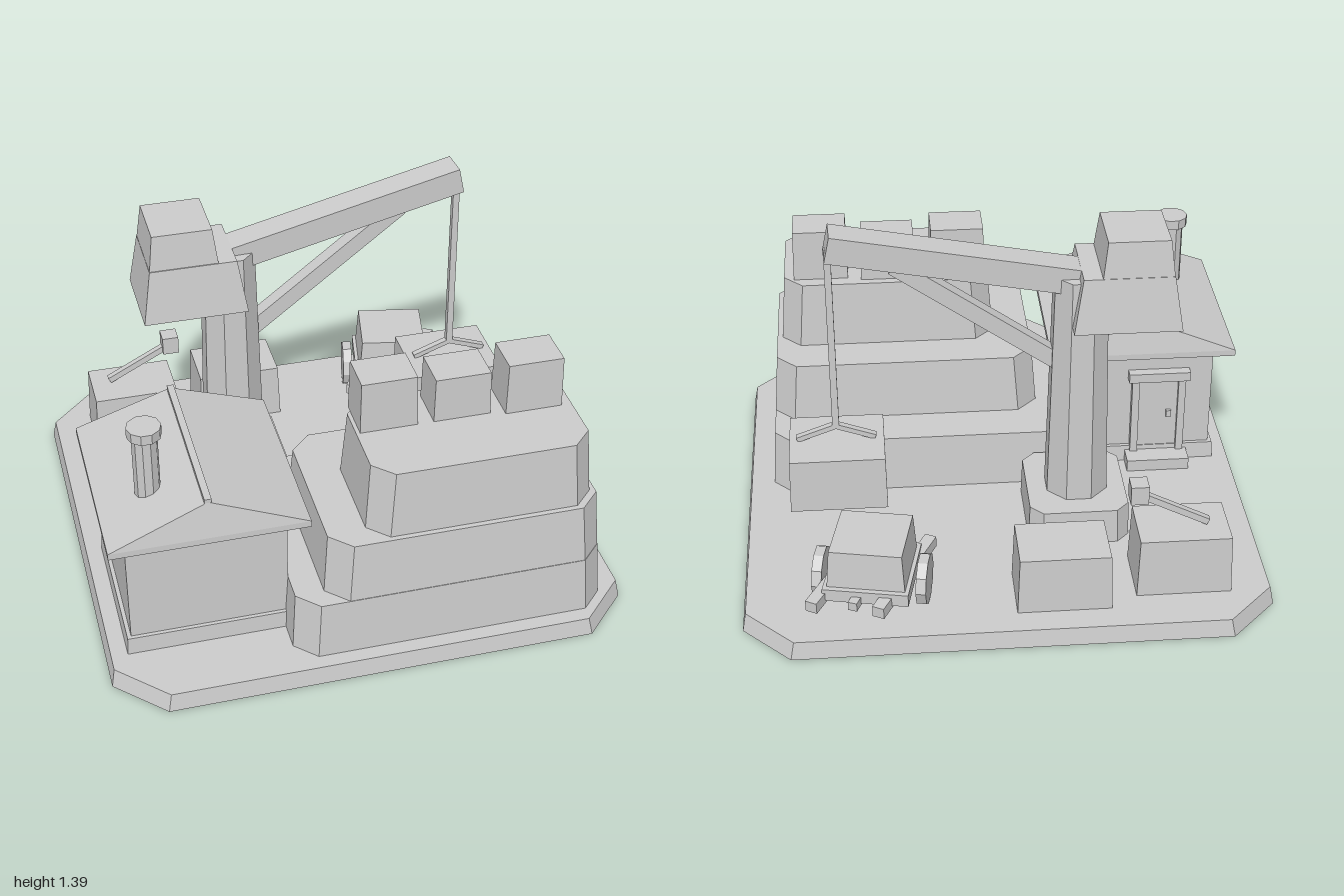
import * as THREE from 'three';

const grey = new THREE.MeshStandardMaterial({ color: 0xcccccc, flatShading: true });
grey.name = 'stone grey';
const greyOpen = grey.clone();
greyOpen.side = THREE.DoubleSide;

function mesh(name, geometry, parent, material = grey) {
  const m = new THREE.Mesh(geometry, material);
  m.name = name;
  parent.add(m);
  return m;
}

// Loop of corners of a rectangle, with optional cut corners
function ring(x0, x1, z0, z1, y, c) {
  const p = c
    ? [[x0 + c, z1], [x1 - c, z1], [x1, z1 - c], [x1, z0 + c], [x1 - c, z0], [x0 + c, z0], [x0, z0 + c], [x0, z1 - c]]
    : [[x0, z1], [x1, z1], [x1, z0], [x0, z0]];
  return p.map(([x, z]) => [x, y, z]);
}

// Tapered block: the top is inset by ix and iz
function block(name, parent, [x0, x1], [y0, y1], [z0, z1], ix = 0, iz = ix, cut = 0, open = false) {
  const a = ring(x0, x1, z0, z1, y0, cut);
  const b = ring(x0 + ix, x1 - ix, z0 + iz, z1 - iz, y1, cut);
  const n = a.length, out = [];
  for (let i = 0; i < n; i++) {
    const j = (i + 1) % n;
    out.push(a[i], a[j], b[j], a[i], b[j], b[i]);
    if (i > 0 && i < n - 1) {
      out.push(b[0], b[i], b[j]);
      if (!open) out.push(a[0], a[j], a[i]);
    }
  }
  const g = new THREE.BufferGeometry();
  g.setAttribute('position', new THREE.Float32BufferAttribute(out.flat(), 3));
  g.computeVertexNormals();
  return mesh(name, g, parent, open ? greyOpen : grey);
}

// Square bar between two points
function beam(name, parent, a, b, w, h) {
  const p = new THREE.Vector3(...a), q = new THREE.Vector3(...b);
  const m = mesh(name, new THREE.BoxGeometry(w, h, p.distanceTo(q)), parent);
  m.position.copy(p).add(q).multiplyScalar(0.5);
  m.lookAt(q);
  return m;
}

function cylinder(name, parent, rTop, rBottom, y0, y1, x, z, sides) {
  const m = mesh(name, new THREE.CylinderGeometry(rTop, rBottom, y1 - y0, sides), parent);
  m.position.set(x, (y0 + y1) / 2, z);
  m.rotation.y = Math.PI / sides;
  return m;
}

function group(name, parent) {
  const g = new THREE.Group();
  g.name = name;
  parent.add(g);
  return g;
}

export function createModel() {
  const root = new THREE.Group();
  root.name = 'stoneYard';

  // Ground slab, hollow underneath
  block('groundSlab', root, [-1, 1], [0, 0.07], [-0.98, 0.98], 0.013, 0.013, 0.18, true);

  // Stepped rock with cut stones on top
  const rock = group('steppedRock', root);
  block('lowerTier', rock, [-0.32, 0.895], [0.06, 0.3], [-0.03, 0.91], 0.015, 0.018, 0.08);
  block('middleTier', rock, [-0.195, 0.88], [0.3, 0.54], [0.16, 0.89], 0.018, 0.02, 0.08);
  block('upperTier', rock, [-0.03, 0.84], [0.54, 0.81], [0.345, 0.85], 0.02, 0.018, 0.075);
  for (const [x, h, z] of [[0.115, 0.21, 0.48], [0.397, 0.18, 0.48], [0.67, 0.21, 0.5]])
    block('cutStone', rock, [x - 0.11, x + 0.11], [0.81, 0.81 + h], [z - 0.085, z + 0.085], 0.004);

  // House
  const house = group('house', root);
  block('foundation', house, [-0.925, -0.285], [0.06, 0.14], [0.09, 0.72], 0.005);
  block('walls', house, [-0.905, -0.305], [0.14, 0.61], [0.11, 0.7]);
  block('eaves', house, [-0.975, -0.235], [0.6, 0.625], [0.025, 0.79]);
  block('roof', house, [-0.975, -0.235], [0.625, 0.765], [0.025, 0.79], 0.363, 0.025);
  block('ridgeBoard', house, [-0.618, -0.592], [0.75, 0.78], [0.05, 0.765]);
  cylinder('chimney', house, 0.048, 0.048, 0.6, 0.95, -0.785, 0.545, 10);
  cylinder('chimneyCap', house, 0.064, 0.064, 0.937, 0.977, -0.785, 0.545, 10);

  // Back door, narrow window and side window
  block('doorStep', house, [-0.81, -0.555], [0.03, 0.12], [0.01, 0.11]);
  block('door', house, [-0.765, -0.605], [0.12, 0.46], [0.098, 0.112]);
  for (const x of [-0.78, -0.59]) block('doorPost', house, [x - 0.015, x + 0.015], [0.12, 0.47], [0.082, 0.112]);
  block('doorLintel', house, [-0.81, -0.56], [0.46, 0.5], [0.07, 0.112]);
  block('doorHandle', house, [-0.74, -0.72], [0.28, 0.31], [0.085, 0.1]);
  block('narrowWindow', house, [-0.445, -0.415], [0.3, 0.44], [0.097, 0.112]);
  block('sideLintel', house, [-0.308, -0.28], [0.49, 0.54], [0.15, 0.62]);
  block('sideWindow', house, [-0.308, -0.285], [0.31, 0.46], [0.25, 0.55]);

  // Crane
  const crane = group('crane', root);
  block('plinth', crane, [-0.5, -0.105], [0.06, 0.215], [-0.46, -0.03], 0.005, 0.005, 0.05);
  cylinder('mast', crane, 0.107, 0.128, 0.2, 1.165, -0.305, -0.25, 8);
  block('counterweight', crane, [-0.67, -0.265], [0.985, 1.2], [-0.41, -0.068], 0.034, 0.028);
  block('counterweightTop', crane, [-0.635, -0.37], [1.2, 1.34], [-0.38, -0.1], 0.017);
  beam('jib', crane, [-0.3, 1.145, -0.25], [0.63, 1.342, -0.29], 0.115, 0.105);
  beam('strut', crane, [-0.27, 0.76, -0.25], [0.39, 1.245, -0.28], 0.06, 0.065);
  beam('rope', crane, [0.627, 0.55, -0.287], [0.627, 1.32, -0.287], 0.026, 0.026);
  block('hangingStone', crane, [0.44, 0.81], [0.28, 0.5], [-0.45, -0.13], 0.004);
  for (const s of [-1, 1])
    beam('sling', crane, [0.627, 0.56, -0.287], [0.627 + s * 0.15, 0.505, -0.287], 0.026, 0.02);

  // Stones on the ground, with a mallet resting on one
  block('groundStone', root, [-0.835, -0.475], [0.06, 0.31], [-0.8, -0.552], 0.008);
  block('groundStone', root, [-0.375, -0.02], [0.06, 0.3], [-0.865, -0.617], 0.008);
  const mallet = group('mallet', root);
  beam('malletHandle', mallet, [-0.75, 0.325, -0.69], [-0.48, 0.465, -0.69], 0.026, 0.026);
  block('malletHead', mallet, [-0.517, -0.45], [0.435, 0.512], [-0.725, -0.655]);

  // Cart with a stone load, turned on the spot
  const cart = group('cart', root);
  cart.position.set(0.51, 0, -0.725);
  cart.rotation.y = -0.2;
  block('cartBed', cart, [-0.16, 0.16], [0.165, 0.215], [-0.16, 0.16]);
  block('cartLoad', cart, [-0.145, 0.145], [0.215, 0.365], [-0.14, 0.14], 0.01);
  beam('axle', cart, [-0.2, 0.175, 0], [0.2, 0.175, 0], 0.035, 0.035);
  for (const s of [-1, 1]) {
    beam('cartShaft', cart, [s * 0.122, 0.155, -0.225], [s * 0.122, 0.205, 0.23], 0.046, 0.045);
    const wheel = mesh('wheel', new THREE.CylinderGeometry(0.097, 0.097, 0.038, 10), cart);
    wheel.rotation.z = Math.PI / 2;
    wheel.position.set(s * 0.195, 0.175, 0);
  }
  return root;
}
